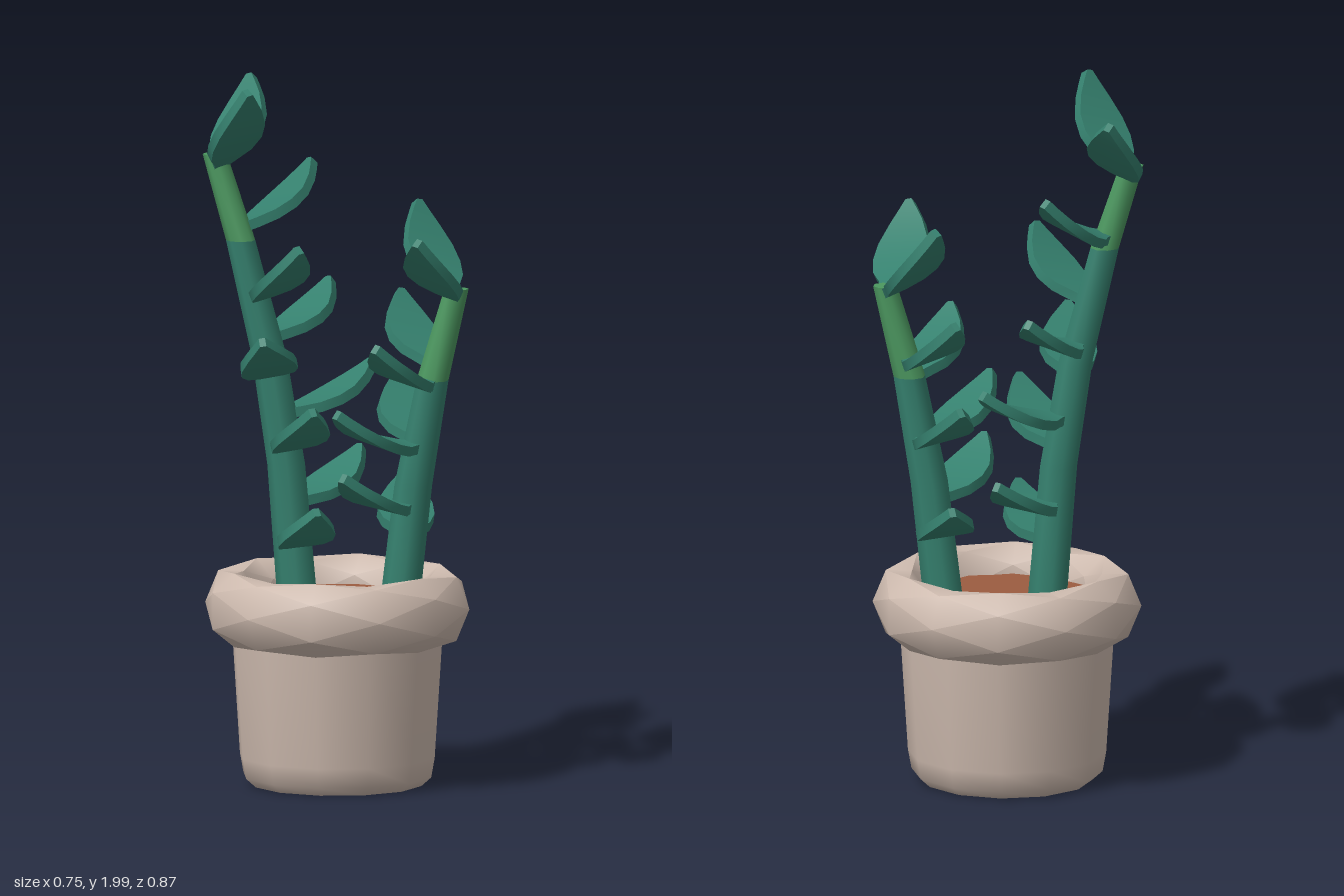
import * as THREE from 'three';
import { toCreasedNormals } from 'three/addons/utils/BufferGeometryUtils.js';

const material = (name, color) => {
  const m = new THREE.MeshStandardMaterial({ color });
  m.name = name;
  return m;
};

const V = (x, y, z) => new THREE.Vector3(x, y, z);

// Skin a list of rings (each counter-clockwise about the direction of travel)
function loft(rings, crease, caps = true) {
  const n = rings[0].length, pos = [], idx = [];
  rings.forEach(r => r.forEach(p => pos.push(p.x, p.y, p.z)));
  for (let i = 0; i < rings.length - 1; i++) {
    for (let j = 0; j < n; j++) {
      const a = i * n + j, b = i * n + (j + 1) % n;
      idx.push(a, b, a + n, b, b + n, a + n);
    }
  }
  if (caps) {
    const e = (rings.length - 1) * n;
    for (let j = 1; j < n - 1; j++) idx.push(0, j + 1, j, e, e + j, e + j + 1);
  }
  const g = new THREE.BufferGeometry();
  g.setAttribute('position', new THREE.Float32BufferAttribute(pos, 3));
  g.setIndex(idx);
  g.computeVertexNormals();
  return toCreasedNormals(g, crease);
}

// Tapered stem through [x, y, z, radius] points
function stemGeometry(points) {
  return loft(points.map(([x, y, z, r]) =>
    Array.from({ length: 8 }, (_, k) => {
      const a = k * Math.PI / 4;
      return V(x + r * Math.sin(a), y, z + r * Math.cos(a));
    })), 1.0);
}

// Centre of a stem at height y
function stemAt(points, y) {
  let i = 0;
  while (i < points.length - 2 && points[i + 1][1] < y) i++;
  const a = points[i], b = points[i + 1], t = (y - a[1]) / (b[1] - a[1]);
  return V(a[0] + (b[0] - a[0]) * t, y, a[2] + (b[2] - a[2]) * t);
}

// Thick pointed leaf that sags and curls up to its tip
function leafGeometry(base, tip, up) {
  const outline = [[0, 0.018], [0.14, 0.035], [0.28, 0.066], [0.45, 0.08],
    [0.62, 0.075], [0.8, 0.05], [0.92, 0.026], [1, 0.009]];
  const mid = base.clone().lerp(tip, 0.55).addScaledVector(up, -0.06);
  const curve = new THREE.QuadraticBezierCurve3(base, mid, tip);
  const side = tip.clone().sub(base).cross(up).normalize();
  return loft(outline.map(([t, half]) => {
    const p = curve.getPoint(t);
    const n = side.clone().cross(curve.getTangent(t)).normalize();
    return [[1, 1], [-1, 1], [-1, -1], [1, -1]].map(([a, b]) =>
      p.clone().addScaledVector(n, a * 0.014).addScaledVector(side, b * half));
  }), 0.6);
}

// Stems: young is the index where the pale shoot starts; leaves are [base height, tip x, y, z]
const stems = [
  {
    name: 'tallStem', young: 3,
    points: [[-0.065, 0.5, -0.09, 0.056], [-0.08, 0.9, -0.12, 0.053], [-0.105, 1.2, -0.16, 0.049],
      [-0.148, 1.53, -0.23, 0.041], [-0.178, 1.77, -0.3, 0.034]],
    leaves: [[1.74, 0.1, 1.95, -0.41], [1.74, -0.31, 1.98, -0.06],
      [1.56, 0.165, 1.72, -0.24], [1.37, -0.24, 1.54, 0.07],
      [1.25, 0.22, 1.38, -0.22], [1.16, -0.36, 1.29, 0.04],
      [1.04, 0.24, 1.16, -0.08], [0.95, -0.26, 1.09, 0.14],
      [0.79, 0.26, 0.91, -0.14], [0.68, -0.21, 0.8, 0.11]]
  },
  {
    name: 'shortStem', young: 2,
    points: [[0.08, 0.5, 0.16, 0.056], [0.1, 0.85, 0.195, 0.053], [0.125, 1.15, 0.245, 0.045],
      [0.162, 1.41, 0.302, 0.034]],
    leaves: [[1.39, -0.125, 1.58, 0.41], [1.39, 0.28, 1.62, 0.05],
      [1.14, -0.2, 1.28, 0.32], [1.19, 0.285, 1.36, -0.02],
      [0.96, -0.25, 1.09, 0.22], [0.97, 0.305, 1.12, -0.05],
      [0.79, -0.235, 0.91, 0.23], [0.71, 0.34, 0.84, -0.045]]
  }
];

export function createModel() {
  const model = new THREE.Group();
  model.name = 'pottedSucculent';
  const clay = material('pale clay', 0xcdbaae);
  const earth = material('brown earth', 0x9c5c40);
  const green = material('deep green', 0x35806e);
  const shoot = material('young green', 0x4c9860);
  const add = (name, geometry, mat, parent = model) => {
    const mesh = new THREE.Mesh(geometry, mat);
    mesh.name = name;
    parent.add(mesh);
    return mesh;
  };

  // Pot body with rounded foot
  const profile = [[0, 0], [0.24, 0], [0.268, 0.025], [0.278, 0.08], [0.303, 0.47]]
    .map(([r, y]) => new THREE.Vector2(r, y));
  add('pot', toCreasedNormals(new THREE.LatheGeometry(profile, 12), 0.9), clay);

  // Rolled rim: a six-sided section that twists once around the pot
  const rings = [];
  for (let i = 0; i <= 12; i++) {
    const a = i * Math.PI / 6, ring = [];
    for (let k = 0; k < 6; k++) {
      const b = k * Math.PI / 3 + a;
      const r = 0.303 + 0.074 * Math.cos(b);
      ring.push(V(r * Math.cos(a), 0.503 + 0.104 * Math.sin(b), r * Math.sin(a)));
    }
    rings.push(ring);
  }
  add('rim', loft(rings, 0.7, false), clay);

  // Soil
  const soil = add('soil', new THREE.CircleGeometry(0.29, 12), earth);
  soil.rotation.x = -Math.PI / 2;
  soil.position.y = 0.53;

  // Stems with their leaves
  for (const { name, young, points, leaves } of stems) {
    const plant = new THREE.Group();
    plant.name = name;
    model.add(plant);
    add('lowerStem', stemGeometry(points.slice(0, young + 1)), green, plant);
    add('youngShoot', stemGeometry(points.slice(young)), shoot, plant);
    for (const [y, ...tip] of leaves) {
      const base = stemAt(points, y);
      const up = stemAt(points, y + 0.1).sub(stemAt(points, y - 0.1)).normalize();
      add('leaf', leafGeometry(base, V(...tip), up), green, plant);
    }
  }
  return model;
}
